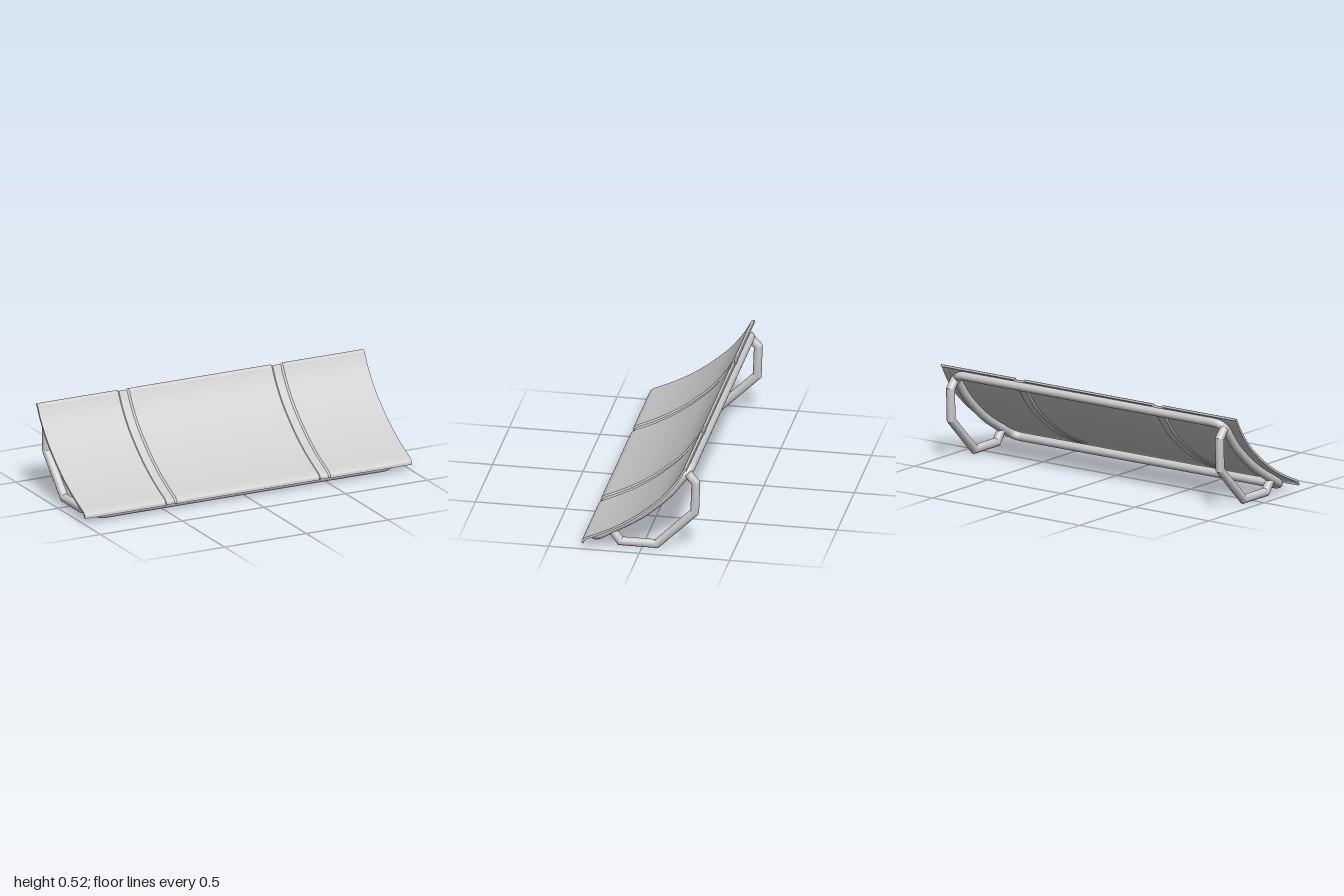
import * as THREE from 'three';
import { toCreasedNormals } from 'three/addons/utils/BufferGeometryUtils.js';

const material = new THREE.MeshStandardMaterial({ color: 0xcccccc });

// Skin a series of equal-length rings and close both ends with strips.
function loft(rings) {
  const n = rings[0].length, last = (rings.length - 1) * n, index = [];
  for (let i = 0; i < rings.length - 1; i++) {
    for (let j = 0; j < n; j++) {
      const a = i * n + j, b = i * n + (j + 1) % n;
      index.push(a, a + n, b + n, a, b + n, b);
    }
  }
  for (let k = 0; k < n / 2 - 1; k++) {
    const a = k, b = k + 1, c = n - 2 - k, d = n - 1 - k;
    index.push(a, b, d);
    if (c !== b) index.push(b, c, d);
    index.push(last + a, last + d, last + b);
    if (c !== b) index.push(last + b, last + d, last + c);
  }
  const geometry = new THREE.BufferGeometry();
  geometry.setAttribute('position', new THREE.Float32BufferAttribute(rings.flat().flatMap(p => p.toArray()), 3));
  geometry.setIndex(index);
  return toCreasedNormals(geometry, 0.5);
}

// Side curve from [z, y] pairs
const sideCurve = pts => new THREE.CatmullRomCurve3(pts.map(([z, y]) => new THREE.Vector3(0, y, z)));

// Curved sheet with a rolled front lip, a folded back edge and two shallow grooves
function panelGeometry() {
  const thickness = 0.012, depth = 0.008;
  const curve = sideCurve([
    [0.32, 0.035], [0.319, 0.046], [0.312, 0.058], [0.297, 0.069], [0.25, 0.09], [0.2, 0.113],
    [0.119, 0.156], [0.038, 0.208], [-0.042, 0.27], [-0.131, 0.352], [-0.203, 0.445],
    [-0.237, 0.505], [-0.241, 0.513], [-0.248, 0.52], [-0.26, 0.523]]);
  const steps = 84;
  const points = curve.getPoints(steps);
  const normals = points.map((p, i) => {
    const t = curve.getTangent(i / steps);
    return new THREE.Vector3(0, -t.z, t.y);
  });
  const stations = [[-1, 0]];
  for (const [a, b] of [[-0.507, -0.438], [0.433, 0.502]]) {
    stations.push([a, 0], [a + 0.01, depth], [b - 0.01, depth], [b, 0]);
  }
  stations.push([1, 0]);
  return loft(stations.map(([x, d]) => {
    const offset = amount => points.map((p, i) => p.clone().addScaledVector(normals[i], -amount).setX(x));
    return [...offset(d), ...offset(d + thickness).reverse()];
  }));
}

const RADIUS = 0.024, SIDE_X = 0.914, SHIFT = -0.006;

// Closed tube: a rounded rectangle wrapped onto the side curve
function frameGeometry() {
  const curve = sideCurve([[0.273, 0.03], [0.19, 0.079], [0.11, 0.126], [0.03, 0.176],
    [-0.045, 0.234], [-0.149, 0.333], [-0.21, 0.412], [-0.263, 0.481]]);
  const length = curve.getLength(), r = 0.06, path = [];
  const add = (x, s) => {
    const p = curve.getPointAt(THREE.MathUtils.clamp(s / length, 0, 1));
    path.push(p.setX(x + SHIFT));
  };
  const corner = (x, s, start) => {
    for (let i = 0; i <= 6; i++) {
      const a = start + i / 6 * Math.PI / 2;
      add(x + r * Math.cos(a), s + r * Math.sin(a));
    }
  };
  const cx = SIDE_X - r, near = r, far = length - r;
  const along = (x0, s0, x1, s1) => {
    for (let i = 1; i < 12; i++) add(x0 + (x1 - x0) * i / 12, s0 + (s1 - s0) * i / 12);
  };
  corner(cx, near, -Math.PI / 2);
  along(SIDE_X, near, SIDE_X, far);
  corner(cx, far, 0);
  along(cx, length, -cx, length);
  corner(-cx, far, Math.PI / 2);
  along(-SIDE_X, far, -SIDE_X, near);
  corner(-cx, near, Math.PI);
  along(-cx, 0, cx, 0);
  return new THREE.TubeGeometry(new THREE.CatmullRomCurve3(path, true), 320, RADIUS, 20, true);
}

// Bent tube with sharp mitred elbows
function legGeometry() {
  const path = [[0.161, 0.079], [0.12, 0.024], [-0.08, 0.024], [-0.29, 0.231], [-0.296, 0.405], [-0.251, 0.457]]
    .map(([z, y]) => new THREE.Vector3(0, y, z));
  const sides = 20;
  return loft(path.map((p, i) => {
    const before = p.clone().sub(path[Math.max(i - 1, 0)]).normalize();
    const after = path[Math.min(i + 1, path.length - 1)].clone().sub(p).normalize();
    const t = before.clone().add(after).normalize();
    const stretch = 1 / t.dot(i ? before : after);
    return Array.from({ length: sides }, (_, k) => {
      const a = k / sides * Math.PI * 2, s = RADIUS * stretch * Math.sin(a);
      return new THREE.Vector3(RADIUS * Math.cos(a), p.y - t.z * s, p.z + t.y * s);
    });
  }));
}

export function createModel() {
  const model = new THREE.Group();
  model.name = 'curvedPanelOnFrame';
  const add = (name, geometry, x = 0) => {
    const mesh = new THREE.Mesh(geometry, material);
    mesh.name = name;
    mesh.position.x = x;
    model.add(mesh);
  };
  add('panel', panelGeometry());
  add('frame', frameGeometry());
  const leg = legGeometry();
  add('leftLeg', leg, SIDE_X + SHIFT);
  add('rightLeg', leg, -SIDE_X + SHIFT);
  return model;
}
